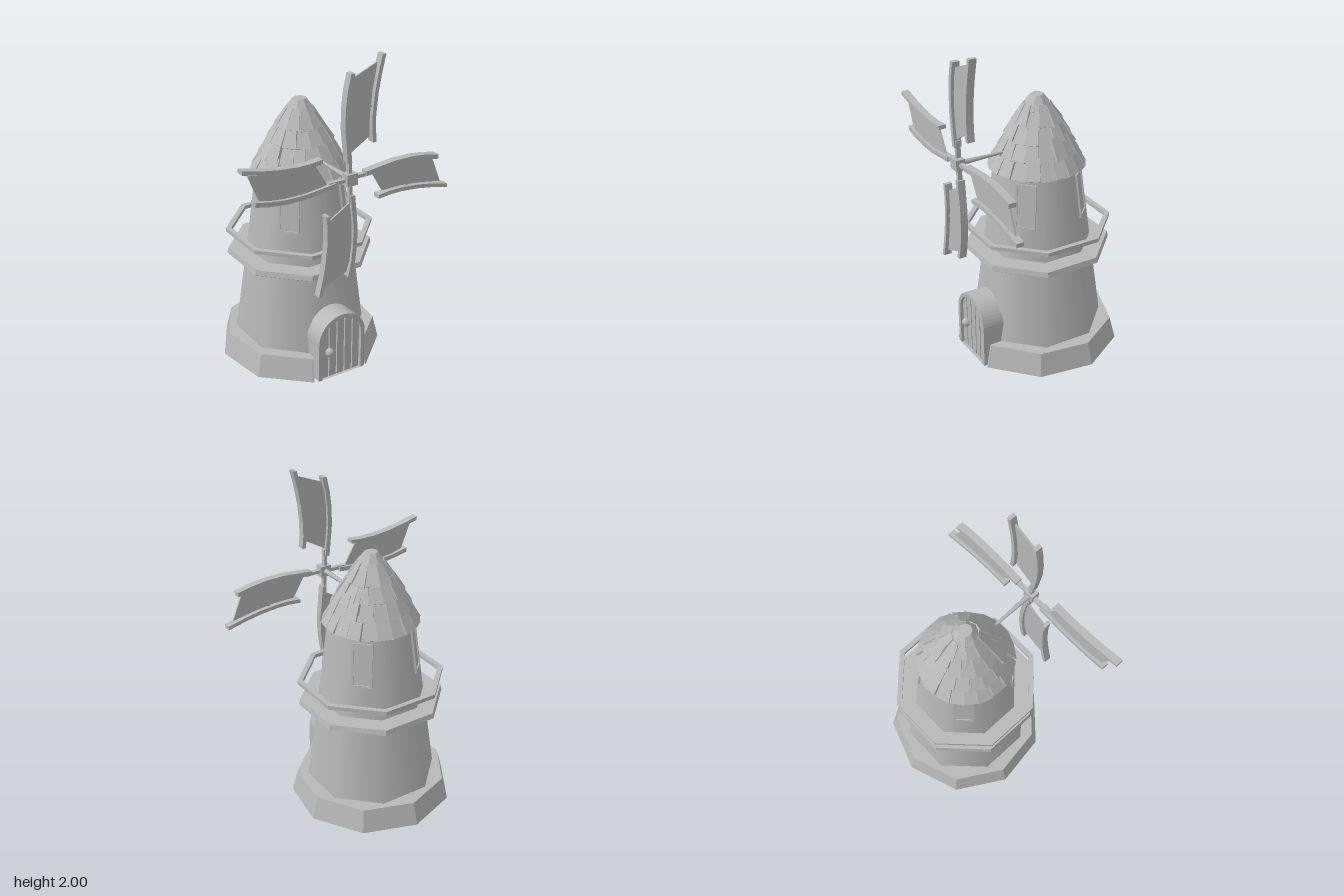
import * as THREE from 'three';

const AXIS_Z = -0.043;               // tower axis
const OCT = 1 / Math.cos(Math.PI / 8); // flat-to-corner factor of an octagon

export function createModel() {
  const model = new THREE.Group();
  model.name = 'windmill';
  const stone = new THREE.MeshStandardMaterial({ color: 0xb8b8b8 });
  stone.name = 'plain grey';

  let seed = 7;
  const rand = () => ((seed = (seed * 16807) % 2147483647) / 2147483647) - 0.5;

  const add = (parent, name, geo, x = 0, y = 0, z = 0) => {
    const mesh = new THREE.Mesh(geo, stone);
    mesh.name = name;
    mesh.position.set(x, y, z);
    parent.add(mesh);
    return mesh;
  };
  const faceted = (geo) => {
    const g = geo.index ? geo.toNonIndexed() : geo;
    g.computeVertexNormals();
    return g;
  };
  const extrude = (shape, depth) =>
    new THREE.ExtrudeGeometry(shape, { depth, bevelEnabled: false, curveSegments: 12 });
  const polygon = (pts) => new THREE.Shape(pts.map(([x, y]) => new THREE.Vector2(x, y)));
  // Octagonal ring from a closed counterclockwise profile of (apothem, y)
  const octRing = (pts) => faceted(new THREE.LatheGeometry(
    [...pts, pts[0]].map(([r, y]) => new THREE.Vector2(r * OCT, y)), 8, Math.PI / 8));

  // Tower: softly shaded tapered octagon
  const towerRadius = (y) => 0.388 - 0.123 * y;
  add(model, 'tower', new THREE.CylinderGeometry(towerRadius(1.22) * OCT, towerRadius(0) * OCT,
    1.22, 8, 1, false, Math.PI / 8), 0, 0.61, AXIS_Z);

  // Plinth: seven sides, open at the door
  add(model, 'plinth', faceted(new THREE.CylinderGeometry(0.43 * OCT, 0.463 * OCT, 0.142, 8, 1, false,
    Math.PI / 8, Math.PI * 7 / 4).toNonIndexed()), 0, 0.071, AXIS_Z);
  for (const s of [-1, 1]) {
    const end = polygon([[0.25, 0], [0.463 * OCT, 0], [0.43 * OCT, 0.142], [0.25, 0.142]]);
    const cheek = add(model, 'plinthEnd', extrude(end, 0.012), 0, 0, AXIS_Z);
    cheek.geometry.translate(0, 0, -0.006);
    cheek.rotation.y = -Math.PI / 2 + s * Math.PI / 8;
  }

  // Balcony floor and railing
  add(model, 'balconyFloor', octRing([[0.27, 0.652], [0.4, 0.652], [0.412, 0.66], [0.405, 0.692], [0.27, 0.692]]),
    0, 0, AXIS_Z);
  add(model, 'balconyRail', octRing([[0.385, 0.802], [0.415, 0.802], [0.415, 0.826], [0.385, 0.826]]),
    0, 0, AXIS_Z);

  // Windows on the four diagonal walls
  for (let k = 0; k < 4; k++) {
    const turn = new THREE.Group();
    turn.name = 'window';
    turn.position.set(0, 0.995, AXIS_Z);
    turn.rotation.set(-Math.atan(0.123), Math.PI / 4 + k * Math.PI / 2, 0, 'YXZ');
    model.add(turn);
    const out = towerRadius(0.995) * Math.cos(Math.atan(0.123));
    const frame = polygon([[-0.062, -0.137], [0.062, -0.137], [0.062, 0.137], [-0.062, 0.137]]);
    frame.holes.push(new THREE.Path([[-0.05, -0.125], [-0.05, 0.125], [0.05, 0.125], [0.05, -0.125]]
      .map(([x, y]) => new THREE.Vector2(x, y))));
    add(turn, 'windowFrame', extrude(frame, 0.022), 0, 0, out - 0.01);
    add(turn, 'windowPane', new THREE.BoxGeometry(0.1, 0.25, 0.008), 0, 0, out);
  }

  // Door: arched surround, planks and knob
  const door = new THREE.Group();
  door.name = 'door';
  door.position.x = 0.004;
  model.add(door);
  const arch = (w, spring) => {
    const s = new THREE.Shape();
    s.moveTo(-w, 0);
    s.lineTo(w, 0);
    s.lineTo(w, spring);
    s.absarc(0, spring, w, 0, Math.PI, false);
    s.closePath();
    return s;
  };
  const surround = arch(0.164, 0.252);
  surround.holes.push(arch(0.138, 0.252));
  add(door, 'doorSurround', extrude(surround, 0.23), 0, 0, 0.2);
  add(door, 'doorBacking', extrude(arch(0.138, 0.252), 0.3), 0, 0, 0.1);
  const step = 0.276 / 5;
  for (let i = 0; i < 5; i++) {
    const a = -0.138 + i * step + 0.004, b = a + step - 0.008;
    const pts = [[a, 0], [b, 0]];
    for (let j = 0; j <= 4; j++) {
      const x = b + (a - b) * j / 4;
      pts.push([x, 0.252 + Math.sqrt(0.138 ** 2 - x * x)]);
    }
    add(door, 'doorPlank', extrude(polygon(pts), 0.012), 0, 0, 0.4);
  }
  add(door, 'doorKnob', new THREE.SphereGeometry(0.028, 12, 8), -0.083, 0.175, 0.42);

  // Roof: cone core with overlapping rows of uneven shingles
  const roof = new THREE.Group();
  roof.name = 'roof';
  roof.position.z = AXIS_Z;
  model.add(roof);
  add(roof, 'roofCore', new THREE.CylinderGeometry(0.03, 0.262, 0.4, 16), 0, 1.4, 0);
  const rows = [[0.28, 1.195, 20], [0.232, 1.29, 17], [0.186, 1.38, 14], [0.137, 1.467, 11], [0.088, 1.55, 8]];
  for (let i = 0; i < 4; i++) {
    const [r0, y0, n] = rows[i];
    const r1 = rows[i + 1][0] - 0.022, y1 = rows[i + 1][1] + 0.025;
    const len = Math.hypot(r0 - r1, y1 - y0);
    for (let k = 0; k < n; k++) {
      const geo = new THREE.BoxGeometry(2 * r0 * Math.tan(Math.PI / n), len, 0.024);
      const p = geo.attributes.position;
      for (let v = 0; v < p.count; v++) if (p.getY(v) > 0) p.setX(v, p.getX(v) * r1 / r0);
      const turn = (k + 0.5 * (i % 2) + rand() * 0.15) / n * Math.PI * 2;
      const r = (r0 + r1) / 2 + rand() * 0.008;
      const tile = add(roof, 'shingle', faceted(geo), Math.sin(turn) * r, (y0 + y1) / 2 + rand() * 0.008, Math.cos(turn) * r);
      tile.rotation.set(-Math.atan2(r0 - r1, y1 - y0) + rand() * 0.06, turn + rand() * 0.12, rand() * 0.1, 'YXZ');
    }
  }
  add(roof, 'roofCap', faceted(new THREE.LatheGeometry([[0, 1.545], [0.088, 1.535], [0.098, 1.55],
    [0.04, 1.63], [0, 1.63]].map(([r, y]) => new THREE.Vector2(r, y)), 8)));

  // Rotor: shaft, hub and four curved sails
  const rotor = new THREE.Group();
  rotor.name = 'rotor';
  rotor.position.set(0, 1.313, 0.475);
  model.add(rotor);
  const shaft = add(rotor, 'shaft', new THREE.CylinderGeometry(0.018, 0.007, 0.33, 8), 0, 0, -0.15);
  shaft.rotation.x = Math.PI / 2;
  add(rotor, 'hub', new THREE.BoxGeometry(0.07, 0.07, 0.055), 0, 0, 0.005);

  const spar = (pts, w) => {
    const left = pts.map(([x, y]) => [x - w, y]);
    const right = pts.map(([x, y]) => [x + w, y]);
    const g = extrude(polygon([...right, ...left.reverse()]), 0.046);
    return g.translate(0, 0, -0.023);
  };
  const inner = [[-0.012, 0.1], [-0.022, 0.19], [-0.034, 0.3], [-0.033, 0.42], [-0.022, 0.52], [-0.003, 0.61]];
  const outer = [[0.151, 0.19], [0.143, 0.27], [0.142, 0.35], [0.153, 0.47], [0.17, 0.57], [0.197, 0.687]];
  const cloth = [[0.0, 0.15], [0.125, 0.225], [0.124, 0.35], [0.138, 0.49], [0.165, 0.645],
    [0.01, 0.58], [-0.018, 0.48], [-0.03, 0.38], [-0.028, 0.28]];
  for (let k = 0; k < 4; k++) {
    const blade = new THREE.Group();
    blade.name = 'blade';
    blade.rotation.z = k * Math.PI / 2;
    rotor.add(blade);
    add(blade, 'bladeArm', new THREE.BoxGeometry(0.02, 0.13, 0.028), -0.004, 0.075, 0);
    add(blade, 'innerSpar', spar(inner, 0.014));
    add(blade, 'outerSpar', spar(outer, 0.012));
    add(blade, 'sail', extrude(polygon(cloth), 0.01), 0, 0, -0.005);
    add(blade, 'sailTie', new THREE.BoxGeometry(0.04, 0.012, 0.008), 0.137, 0.4, 0);
  }
  return model;
}
